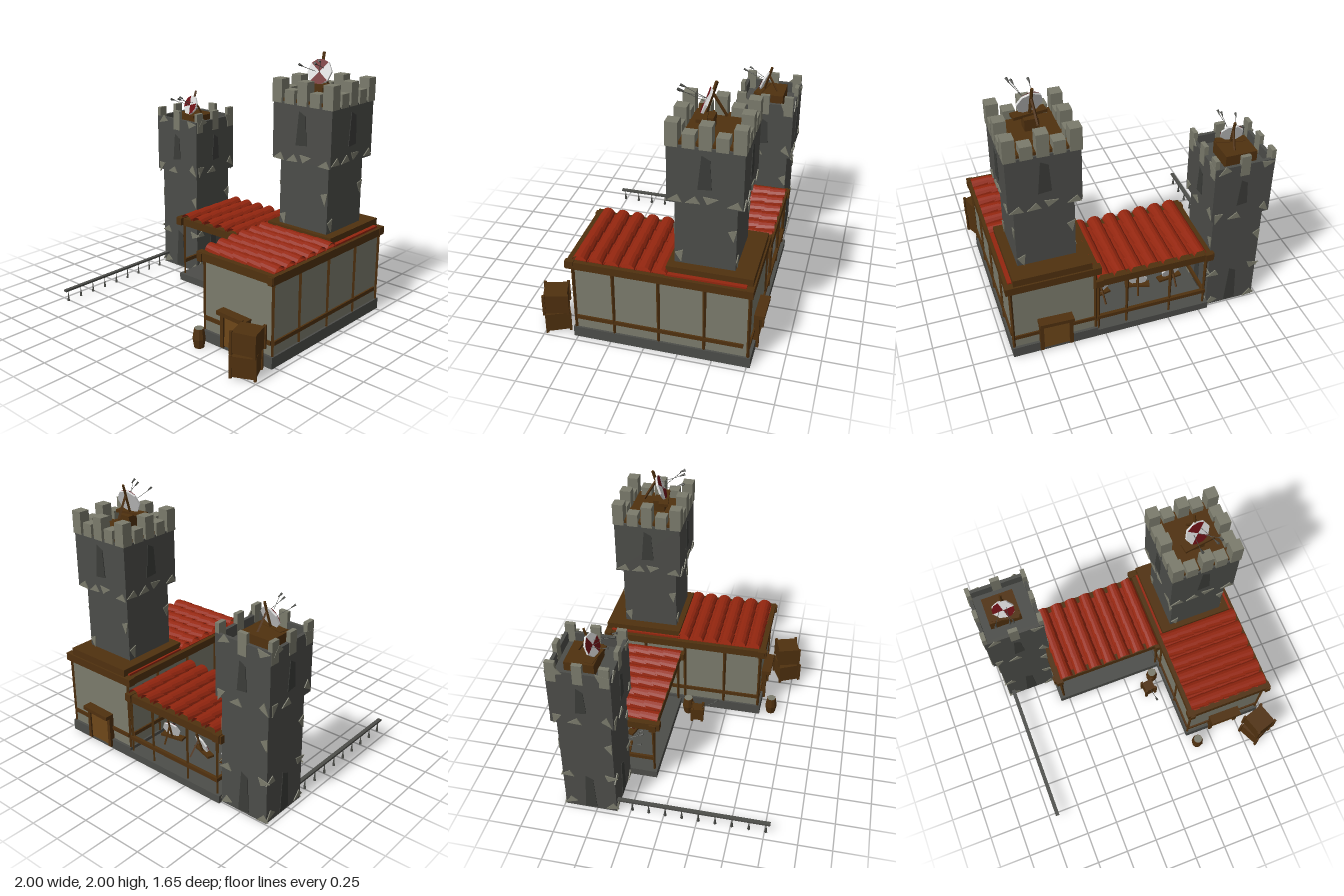
import * as THREE from 'three';

const mat = (name, color, side = THREE.FrontSide) => {
  const m = new THREE.MeshStandardMaterial({ color, side, flatShading: true });
  m.name = name;
  return m;
};

export function createModel() {
  const model = new THREE.Group();
  const M = {
    stone: mat('dark stone', 0x4c4d49),
    slit: mat('shadow stone', 0x3b3c39),
    pale: mat('pale stone', 0x7b7b6c),
    wood: mat('dark timber', 0x50310f),
    door: mat('door timber', 0x6e4719),
    tile: mat('roof tile', 0x94260f, THREE.DoubleSide),
    white: mat('target white', 0xd8d8d8, THREE.DoubleSide),
    red: mat('target red', 0x6c1015, THREE.DoubleSide),
  };
  const group = (name, parent = model) => {
    const g = new THREE.Group();
    g.name = name;
    parent.add(g);
    return g;
  };
  const add = (name, geo, m, parent, x = 0, y = 0, z = 0) => {
    const mesh = new THREE.Mesh(geo, m);
    mesh.name = name;
    mesh.position.set(x, y, z);
    parent.add(mesh);
    return mesh;
  };
  // Box given by its limits on each axis
  const box = (name, m, p, x0, x1, y0, y1, z0, z1) =>
    add(name, new THREE.BoxGeometry(x1 - x0, y1 - y0, z1 - z0), m, p, (x0 + x1) / 2, (y0 + y1) / 2, (z0 + z1) / 2);
  // Thin rod between two points
  const rod = (name, m, p, a, b, r, r2 = r, sides = 4) => {
    const A = new THREE.Vector3(...a), d = new THREE.Vector3(...b).sub(A);
    const mesh = add(name, new THREE.CylinderGeometry(r2, r, d.length(), sides), m, p);
    mesh.position.copy(A).addScaledVector(d, 0.5);
    mesh.quaternion.setFromUnitVectors(new THREE.Vector3(0, 1, 0), d.normalize());
    return mesh;
  };
  // Four-sided flat slit on each wall of a square tower
  const slits = (p, half, y0, y1, w, name = 'window') => {
    const s = new THREE.Shape([[-w, y0], [w, y0 + 0.01], [w * 0.7, y1 - 0.03], [-w * 0.5, y1]].map(q => new THREE.Vector2(...q)));
    const geo = new THREE.ExtrudeGeometry(s, { depth: 0.006, bevelEnabled: false }).translate(0, 0, half - 0.001);
    for (let i = 0; i < 4; i++) add(name, geo, M.slit, p).rotation.y = i * Math.PI / 2;
  };
  // Pale chipped stones on the corners and faces
  const chips = (p, half, list) => {
    const tri = new THREE.Shape([[-0.05, -0.02], [0.05, -0.025], [0.02, 0.03]].map(q => new THREE.Vector2(...q)));
    const geo = new THREE.ExtrudeGeometry(tri, { depth: 0.008, bevelEnabled: false });
    for (let i = 0; i < 4; i++) {
      const side = group('chippedStones', p);
      side.rotation.y = i * Math.PI / 2;
      list.forEach(([x, y, turn]) => add('chip', geo, M.pale, side, x, y + 0.015 * (i % 2), half).rotation.z = turn);
    }
  };

  // Archery target on an easel
  const target = (x, y, z, s, turn, roll) => {
    const t = group('archeryTarget');
    t.position.set(x, y, z);
    t.rotation.y = turn;
    t.scale.setScalar(s);
    const face = group('targetFace', t);
    face.position.set(0, 0.1, 0.01);
    face.rotation.set(-0.38, 0, roll);
    add('disc', new THREE.CylinderGeometry(0.095, 0.095, 0.016, 8).rotateX(Math.PI / 2), M.white, face);
    for (const a of [0, Math.PI])
      add('redQuarter', new THREE.CircleGeometry(0.093, 2, a, Math.PI / 2), M.red, face, 0, 0, 0.011);
    box('easelBar', M.wood, t, -0.12, 0.12, 0.0, 0.022, 0.0, 0.07);
    rod('easelPost', M.wood, t, [0, 0, 0.02], [0, 0.235, -0.05], 0.012);
    rod('easelLeg', M.wood, t, [0, 0.15, -0.03], [0, 0, -0.12], 0.01);
    [[0.03, 0.13, 0.05, 0.18], [-0.03, 0.1, -0.07, 0.16], [0.0, 0.09, 0.08, 0.2]].forEach(([a, b, c, d]) => {
      rod('arrow', M.stone, t, [a, b, 0.01], [c, d, 0.17], 0.002);
      rod('arrowFeathers', M.stone, t, [c * 0.95, d * 0.97, 0.15], [c, d + 0.01, 0.19], 0.004, 0.011);
    });
  };

  // Left tower
  const lt = group('leftTower');
  lt.position.set(-0.77, 0, -0.545);
  box('shaft', M.stone, lt, -0.195, 0.195, 0, 0.87, -0.195, 0.195);
  box('upperRoom', M.stone, lt, -0.225, 0.225, 0.86, 1.24, -0.225, 0.225);
  for (let i = 0; i < 4; i++) {
    const side = group('parapet', lt);
    side.rotation.y = i * Math.PI / 2;
    box('parapetWall', M.stone, side, -0.225, 0.225, 1.24, 1.32, 0.2, 0.225);
    for (const x of i % 2 ? [-0.185, 0, 0.185] : [0])
      box('merlon', M.pale, side, x - 0.035, x + 0.035, 1.23, 1.39, 0.198, 0.23);
  }
  slits(lt, 0.225, 0.97, 1.19, 0.04);
  slits(lt, 0.195, 0.01, 0.33, 0.045, 'doorway');
  chips(lt, 0.194, [[-0.16, 0.32, 0], [0.17, 0.32, 3], [0.17, 0.62, 1.6], [-0.16, 0.04, 0.4], [0.16, 0.03, 0.2]]);
  chips(lt, 0.224, [[-0.05, 0.88, 0], [-0.19, 0.89, 1], [0.18, 0.9, 2], [-0.16, 1.3, 0.3], [0.17, 1.29, 3]]);

  // Right tower
  const rt = group('rightTower');
  rt.position.set(0.635, 0, -0.415);
  box('shaft', M.stone, rt, -0.212, 0.212, 0.7, 1.25, -0.212, 0.212);
  box('upperRoom', M.stone, rt, -0.255, 0.255, 1.24, 1.66, -0.255, 0.255);
  box('deck', M.wood, rt, -0.24, 0.24, 1.66, 1.685, -0.24, 0.24);
  for (let i = 0; i < 4; i++) {
    const side = group('battlement', rt);
    side.rotation.y = i * Math.PI / 2;
    for (let k = 0; k < 4; k++) {
      const x = -0.22 + k * 0.11;
      box('merlon', M.pale, side, x - 0.042, x + 0.042, 1.65, k % 2 ? 1.75 : 1.82, 0.178, 0.262);
    }
  }
  slits(rt, 0.255, 1.36, 1.61, 0.047);
  chips(rt, 0.254, [[-0.2, 1.26, 0], [-0.08, 1.26, 0.1], [0.04, 1.27, 3.1], [0.2, 1.26, 0]]);
  chips(rt, 0.211, [[-0.18, 0.78, 1.5], [0.18, 1.0, 1.4]]);

  // House
  const house = group('house');
  box('plinth', M.stone, house, 0.31, 0.955, 0, 0.085, -0.775, 0.53);
  box('walls', M.pale, house, 0.325, 0.94, 0.08, 0.64, -0.755, 0.51);
  for (const z of [0.51, 0.22, -0.11, -0.44, -0.755])
    for (const x of [0.323, 0.942]) rod('wallPost', M.wood, house, [x, 0.08, z], [x, 0.64, z], 0.011, 0.014);
  for (const x of [0.322, 0.943]) box('sideRail', M.wood, house, x - 0.01, x + 0.01, 0.165, 0.195, -0.72, 0.5);
  for (const x of [0.315, 0.95]) box('sideBeam', M.wood, house, x - 0.02, x + 0.02, 0.615, 0.675, -0.77, 0.56);
  for (const z of [0.52, -0.75]) box('endBeam', M.wood, house, 0.28, 0.975, 0.62, 0.68, z - 0.027, z + 0.027);
  for (const s of [1, -1]) {
    // Door with frame, planks and canopy on each end wall
    const end = group('doorway', house);
    end.position.set(0.63, 0, s > 0 ? 0.51 : -0.755);
    end.rotation.y = s > 0 ? 0 : Math.PI;
    box('doorLeaf', M.door, end, -0.1, 0.1, 0.03, 0.27, 0, 0.028);
    for (const x of [-0.11, 0.11]) box('doorPost', M.wood, end, x - 0.014, x + 0.014, 0.02, 0.28, 0, 0.04);
    box('canopy', M.wood, end, -0.13, 0.125, 0.275, 0.305, 0, 0.075).rotation.z = -0.04;
    for (const k of [-1, 1]) box('endRail', M.wood, end, k < 0 ? -0.3 : 0.12, k < 0 ? -0.12 : 0.3, 0.165, 0.195, 0, 0.012);
  }
  box('towerBase', M.wood, house, 0.345, 0.915, 0.66, 0.735, -0.765, -0.16);

  // Open hall
  const hall = group('openHall');
  box('plinth', M.stone, hall, -0.575, 0.32, 0, 0.06, -0.775, -0.14);
  for (const z of [-0.165, -0.75]) {
    for (const x of z < -0.5 ? [-0.54, -0.26, 0.08, 0.3] : [-0.54, 0.3])
      rod('hallPost', M.wood, hall, [x, 0.05, z], [x, 0.51, z], 0.009, 0.015);
    box('hallBeam', M.wood, hall, -0.595, 0.32, 0.495, 0.555, z - 0.022, z + 0.03);
  }
  box('backRail', M.wood, hall, -0.55, 0.31, 0.16, 0.19, -0.765, -0.74);
  box('sideRail', M.wood, hall, -0.55, -0.53, 0.16, 0.19, -0.75, -0.16);
  for (const x of [-0.55, 0.3]) box('crossBeam', M.wood, hall, x - 0.03, x + 0.025, 0.5, 0.56, -0.785, -0.11);

  // Overlapping half-round tiles, laid along local z and falling towards +z
  const roof = (name, rows, spacing, count, length) => {
    const g = group(name);
    const geo = new THREE.CylinderGeometry(0.056, 0.047, length * 1.15, 7, 1, true, -Math.PI / 2, Math.PI);
    geo.rotateX(Math.PI / 2).rotateZ(Math.PI);
    add('roofBoard', new THREE.BoxGeometry(rows * spacing, 0.012, count * length), M.tile, g);
    for (let r = 0; r < rows; r++)
      for (let k = 0; k < count; k++) {
        const t = add('tile', geo, M.tile, g, (r - (rows - 1) / 2) * spacing, 0.003, (k - (count - 1) / 2) * length);
        t.rotation.x = 0.11;
      }
    return g;
  };
  roof('hallRoof', 7, 0.124, 5, 0.122).position.set(-0.115, 0.548, -0.45);
  const houseRoof = roof('houseRoof', 6, 0.116, 5, 0.122);
  houseRoof.position.set(0.632, 0.674, 0.165);
  houseRoof.rotation.set(0, Math.PI / 2, 0);
  box('backRoofBoard', M.tile, house, 0.33, 0.945, 0.655, 0.69, -0.725, -0.16);

  // Targets on the towers and in the hall
  target(0.63, 1.765, -0.37, 1, 0.15, 0.9);
  box('targetPlinth', M.wood, rt, -0.05, 0.05, 1.68, 1.77, 0, 0.09);
  target(-0.78, 1.32, -0.51, 0.88, -0.2, 1.9);
  box('targetPlatform', M.wood, lt, -0.14, 0.1, 1.24, 1.335, -0.12, 0.09);
  target(-0.4, 0.06, -0.45, 0.8, 0.1, -2.2);
  target(-0.12, 0.06, -0.45, 0.8, -0.3, 2.9);
  target(0.19, 0.06, -0.45, 0.8, 0.2, 0.8);

  // Crates and barrels
  const crate = (x, y, z, s, h, turn) => {
    const c = group('crate');
    c.position.set(x, y, z);
    c.rotation.y = turn;
    box('crateBody', M.wood, c, -s, s, 0.008, h - 0.008, -s, s);
    for (const a of [-1, 1]) for (const b of [-1, 1])
      box('crateEdge', M.wood, c, a * s - 0.01, a * s + 0.01, 0, h, b * s - 0.01, b * s + 0.01);
  };
  crate(0.865, 0.005, 0.69, 0.085, 0.165, 0.45);
  crate(0.875, 0.17, 0.685, 0.085, 0.17, 0.3);
  crate(0.163, 0, 0.03, 0.042, 0.125, 0.1);
  rod('looseArrow', M.stone, model, [0.165, 0.1, 0.05], [0.17, 0.2, 0.19], 0.002);
  rod('arrowFeathers', M.stone, model, [0.17, 0.19, 0.17], [0.17, 0.21, 0.2], 0.004, 0.011);
  const profile = [[0, 0], [0.036, 0], [0.048, 0.07], [0.037, 0.145], [0.03, 0.145]].map(p => new THREE.Vector2(...p));
  for (const [x, z] of [[0.37, 0.62], [0.225, -0.06]]) {
    add('barrel', new THREE.LatheGeometry(profile, 9), M.wood, model, x, 0, z);
    add('barrelLid', new THREE.CylinderGeometry(0.034, 0.034, 0.008, 9), M.pale, model, x, 0.144, z);
  }

  // Low bar with a row of spikes
  const rail = group('spikedRail');
  box('bar', M.stone, rail, -0.945, -0.915, 0.085, 0.1, -0.35, 0.79);
  for (let i = 0; i < 9; i++) {
    const z = -0.24 + i * 0.125;
    rod('spikeStem', M.stone, rail, [-0.93, 0.04, z], [-0.93, 0.09, z], 0.004);
    rod('spikeHead', M.stone, rail, [-0.93, 0, z], [-0.93, 0.055, z], 0.012, 0.004);
  }
  return model;
}
